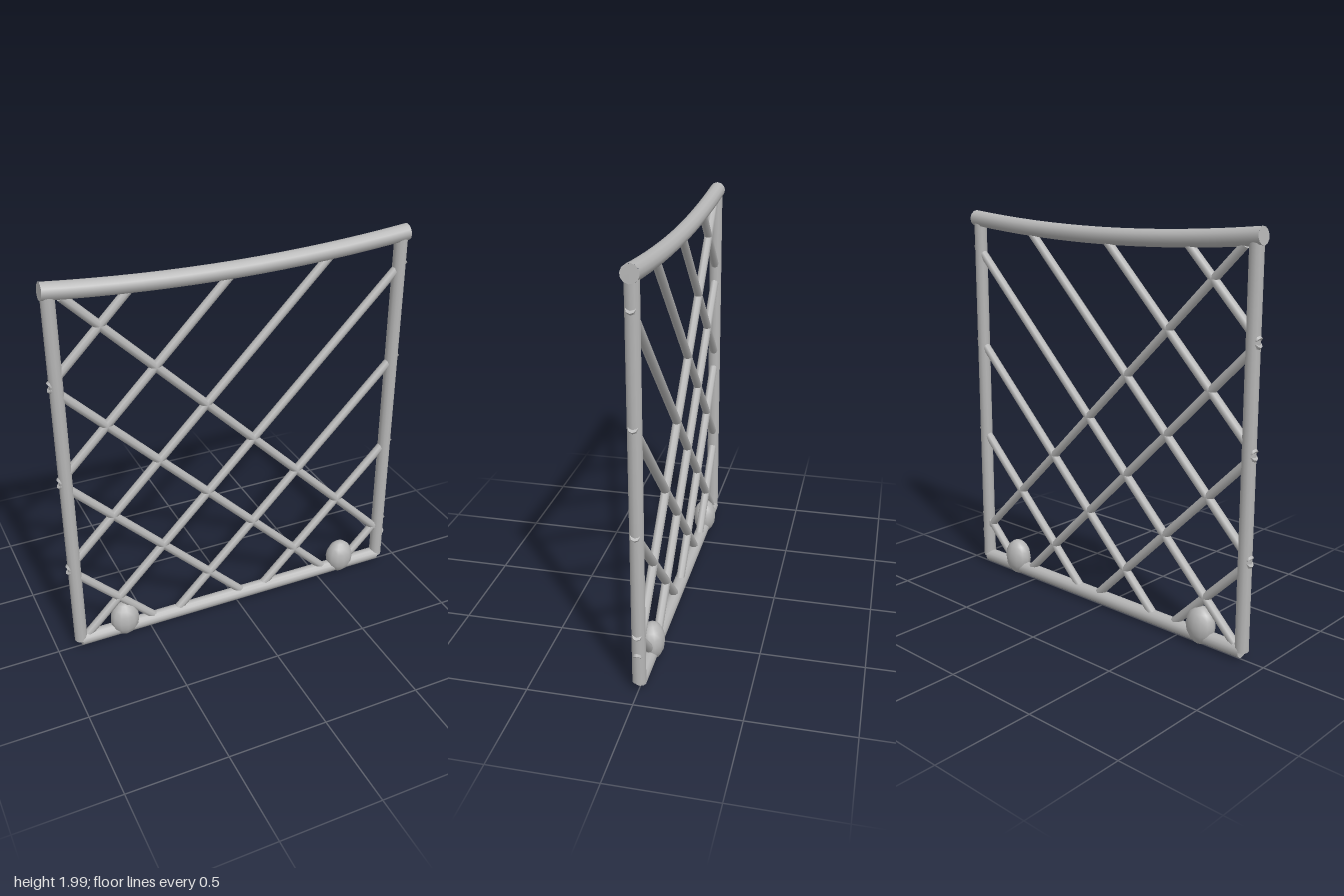
import * as THREE from 'three';

export function createModel() {
  const group = new THREE.Group();
  group.name = 'latticeGate';
  const metal = new THREE.MeshStandardMaterial({ color: 0xb6b6b6 });
  metal.name = 'greyMetal';

  // straight round rod between two points in the gate plane
  function rod(name, x1, y1, x2, y2, radius, sides) {
    const a = new THREE.Vector3(x1, y1, 0);
    const b = new THREE.Vector3(x2, y2, 0);
    const mesh = new THREE.Mesh(new THREE.CylinderGeometry(radius, radius, a.distanceTo(b), sides), metal);
    mesh.position.copy(a).add(b).multiplyScalar(0.5);
    mesh.quaternion.setFromUnitVectors(new THREE.Vector3(0, 1, 0), b.clone().sub(a).normalize());
    mesh.name = name;
    group.add(mesh);
  }

  // frame: two posts and the bottom rail
  for (const s of [-1, 1]) rod(s < 0 ? 'rightPost' : 'leftPost', s * 0.878, 0.055, s * 0.878, 1.95, 0.033, 12);
  rod('bottomRail', -0.878, 0.054, 0.873, 0.054, 0.035, 12);

  // sagging top rail with closed ends
  const radius = 0.041;
  const curve = new THREE.QuadraticBezierCurve3(
    new THREE.Vector3(-0.911, 1.96, 0), new THREE.Vector3(0, 1.867, 0), new THREE.Vector3(0.911, 1.96, 0));
  const topRail = new THREE.Mesh(new THREE.TubeGeometry(curve, 16, radius, 12, false), metal);
  topRail.name = 'topRail';
  group.add(topRail);
  for (const t of [0, 1]) {
    const cap = new THREE.Mesh(new THREE.CircleGeometry(radius, 12), metal);
    cap.position.copy(curve.getPoint(t));
    const outward = curve.getTangent(t).multiplyScalar(t ? 1 : -1);
    cap.quaternion.setFromUnitVectors(new THREE.Vector3(0, 0, 1), outward);
    cap.name = 'topRailEnd';
    group.add(cap);
  }

  // diagonal bars, clipped just past the frame
  const side = 0.905, low = 0.055, high = 1.92, barRadius = 0.022;
  for (let i = 0; i < 7; i++) {
    const c = 2.42 - i * 0.502; // y = x + c
    const x1 = Math.max(-side, low - c), x2 = Math.min(side, high - c);
    rod('risingBar', x1, x1 + c, x2, x2 + c, barRadius, 8);
  }
  for (let i = 0; i < 4; i++) {
    const c = 1.1 - i * 0.502; // y = c - x
    const x1 = Math.max(-side, c - high), x2 = Math.min(side, c - low);
    rod('fallingBar', x1, c - x1, x2, c - x2, barRadius, 8);
  }

  // egg-shaped knobs on the bottom rail
  for (const s of [-1, 1]) {
    const knob = new THREE.Mesh(new THREE.SphereGeometry(1, 12, 8), metal);
    knob.scale.set(0.077, 0.097, 0.062);
    knob.position.set(s * 0.638, 0.108, 0);
    knob.name = s < 0 ? 'rightKnob' : 'leftKnob';
    group.add(knob);
  }
  return group;
}
